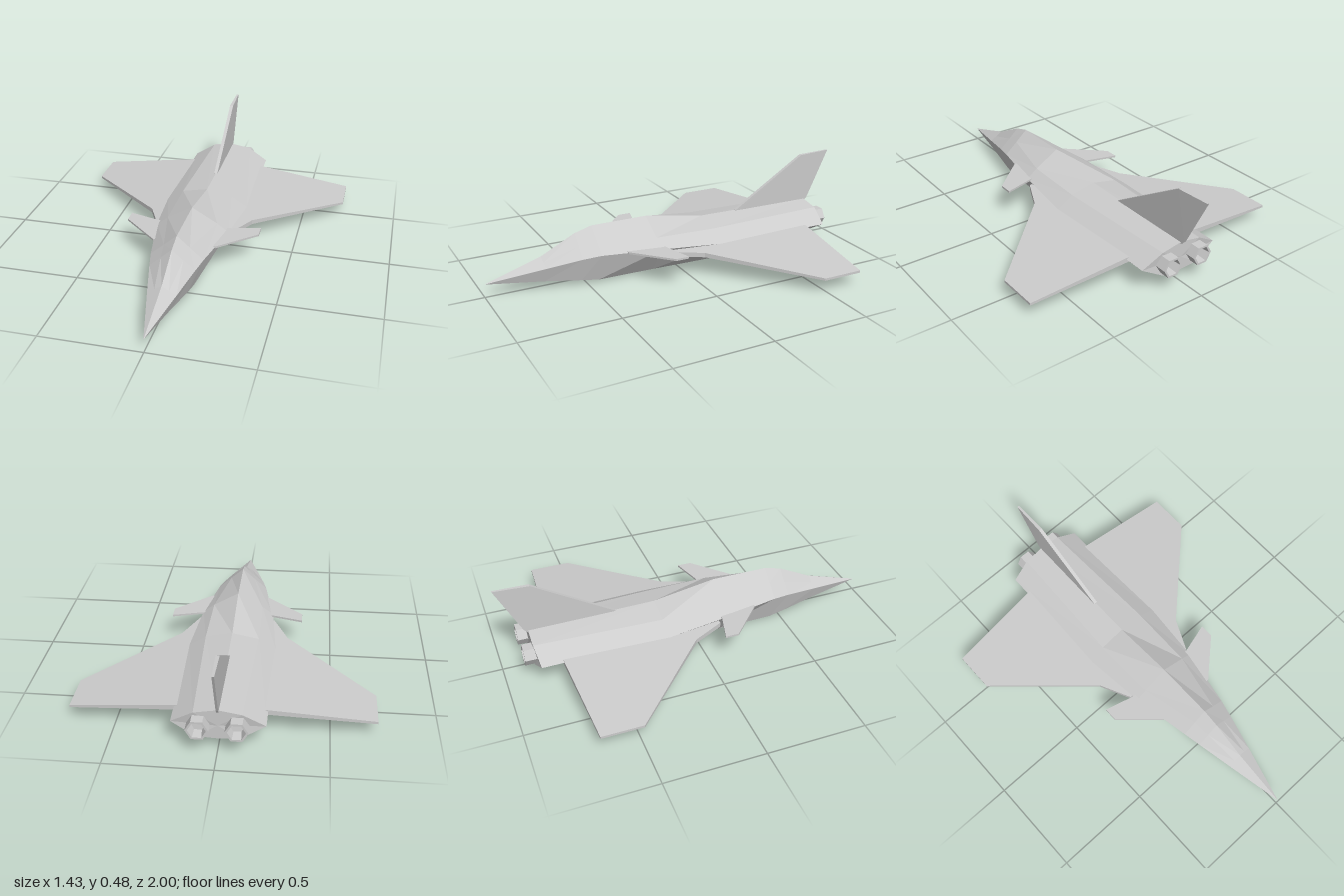
import * as THREE from 'three';

const material = new THREE.MeshStandardMaterial({ color: 0xcccccc, flatShading: true });

function addMesh(parent, name, geometry) {
  const mesh = new THREE.Mesh(geometry, material);
  mesh.name = name;
  parent.add(mesh);
  return mesh;
}

// Flat surface from an outline of [x, z] points; mid and thick give its height and thickness along the span
function plate(outline, side, mid, thick) {
  const shape = new THREE.Shape(outline.map(([x, z]) => new THREE.Vector2(x * side, -z)));
  const geo = new THREE.ExtrudeGeometry(shape, { depth: 1, bevelEnabled: false });
  geo.rotateX(-Math.PI / 2);
  const p = geo.attributes.position;
  for (let i = 0; i < p.count; i++) {
    const x = Math.abs(p.getX(i));
    p.setY(i, mid(x) + (p.getY(i) - 0.5) * thick(x));
  }
  geo.computeVertexNormals();
  return geo;
}

// Fuselage stations: z, top y, shoulder x/y, side x/y, lower edge x/y, keel y
const stations = [
  [1.0, 0.07, 0, 0.07, 0, 0.07, 0, 0.07, 0.07],
  [0.71, 0.16, 0.035, 0.14, 0.07, 0.12, 0.045, 0.045, 0.038],
  [0.53, 0.25, 0.055, 0.2, 0.112, 0.15, 0.075, 0.025, 0.018],
  [0.44, 0.275, 0.065, 0.218, 0.132, 0.16, 0.085, 0.014, 0.008],
  [0.14, 0.275, 0.13, 0.2, 0.188, 0.157, 0.088, 0.012, 0.002],
  [-0.19, 0.22, 0.135, 0.193, 0.22, 0.138, 0.105, 0.014, 0.008],
  [-0.85, 0.212, 0.11, 0.193, 0.215, 0.13, 0.1, 0.066, 0.06],
];

function fuselageGeometry() {
  const n = 8;
  const positions = [];
  const index = [];
  stations.forEach(([z, top, shX, shY, sX, sY, lX, lY, keel], s) => {
    const sideZ = s === stations.length - 1 ? z + 0.015 : z;
    positions.push(0, top, z, shX, shY, z, sX, sY, sideZ, lX, lY, z,
      0, keel, z, -lX, lY, z, -sX, sY, sideZ, -shX, shY, z);
  });
  for (let s = 0; s < stations.length - 1; s++) {
    for (let j = 0; j < n; j++) {
      const a = s * n + j, b = s * n + (j + 1) % n;
      if (s > 0) index.push(a, b, a + n);
      index.push(b, b + n, a + n);
    }
  }
  // rear bulkhead
  const last = (stations.length - 1) * n;
  const centre = positions.length / 3;
  positions.push(0, 0.13, -0.85);
  for (let j = 0; j < n; j++) index.push(centre, last + j, last + (j + 1) % n);

  const geo = new THREE.BufferGeometry();
  geo.setAttribute('position', new THREE.Float32BufferAttribute(positions, 3));
  geo.setIndex(index);
  const flat = geo.toNonIndexed();
  flat.computeVertexNormals();
  return flat;
}

export function createModel() {
  const model = new THREE.Group();
  model.name = 'jetAircraft';
  addMesh(model, 'fuselage', fuselageGeometry());

  const wing = [[0.12, 0.1], [0.2, 0.1], [0.275, -0.06], [0.715, -0.48], [0.715, -0.69], [0.22, -0.725], [0.12, -0.73]];
  const canard = [[0.1, 0.31], [0.16, 0.31], [0.345, 0.14], [0.345, 0.07], [0.2, 0.11], [0.1, 0.13]];

  for (const side of [1, -1]) {
    const label = side > 0 ? 'left' : 'right';
    // main wing droops and thins toward the tip
    addMesh(model, label + 'Wing', plate(wing, side,
      (x) => 0.126 - (x - 0.22) * 0.1, (x) => 0.025 - (x - 0.22) * 0.026));
    addMesh(model, label + 'Canard', plate(canard, side, () => 0.16, () => 0.01));

    // hexagonal exhaust nozzle with a recessed opening
    const profile = [[0, -0.03], [0.032, -0.03], [0.042, 0.05], [0.053, 0.05], [0.053, -0.05]]
      .map(([r, y]) => new THREE.Vector2(r, y)).reverse();
    const nozzleGeo = new THREE.LatheGeometry(profile, 6, Math.PI / 6);
    nozzleGeo.rotateX(-Math.PI / 2);
    const nozzle = addMesh(model, label + 'Nozzle', nozzleGeo);
    nozzle.material = material.clone();
    nozzle.material.side = THREE.DoubleSide;
    nozzle.position.set(side * 0.088, 0.132, -0.85);
  }

  // swept tail fin, thinning toward the trailing edge
  const finShape = new THREE.Shape([[0.4, 0.2], [0.85, 0.2], [0.87, 0.22], [0.995, 0.478], [0.815, 0.472], [0.4, 0.218]]
    .map(([x, y]) => new THREE.Vector2(x, y)));
  const fin = new THREE.ExtrudeGeometry(finShape, { depth: 0.018, bevelEnabled: false });
  fin.translate(0, 0, -0.009);
  fin.rotateY(Math.PI / 2);
  const p = fin.attributes.position;
  for (let i = 0; i < p.count; i++) if (p.getZ(i) < -0.84) p.setX(i, p.getX(i) * 0.6);
  fin.computeVertexNormals();
  addMesh(model, 'tailFin', fin);

  return model;
}
